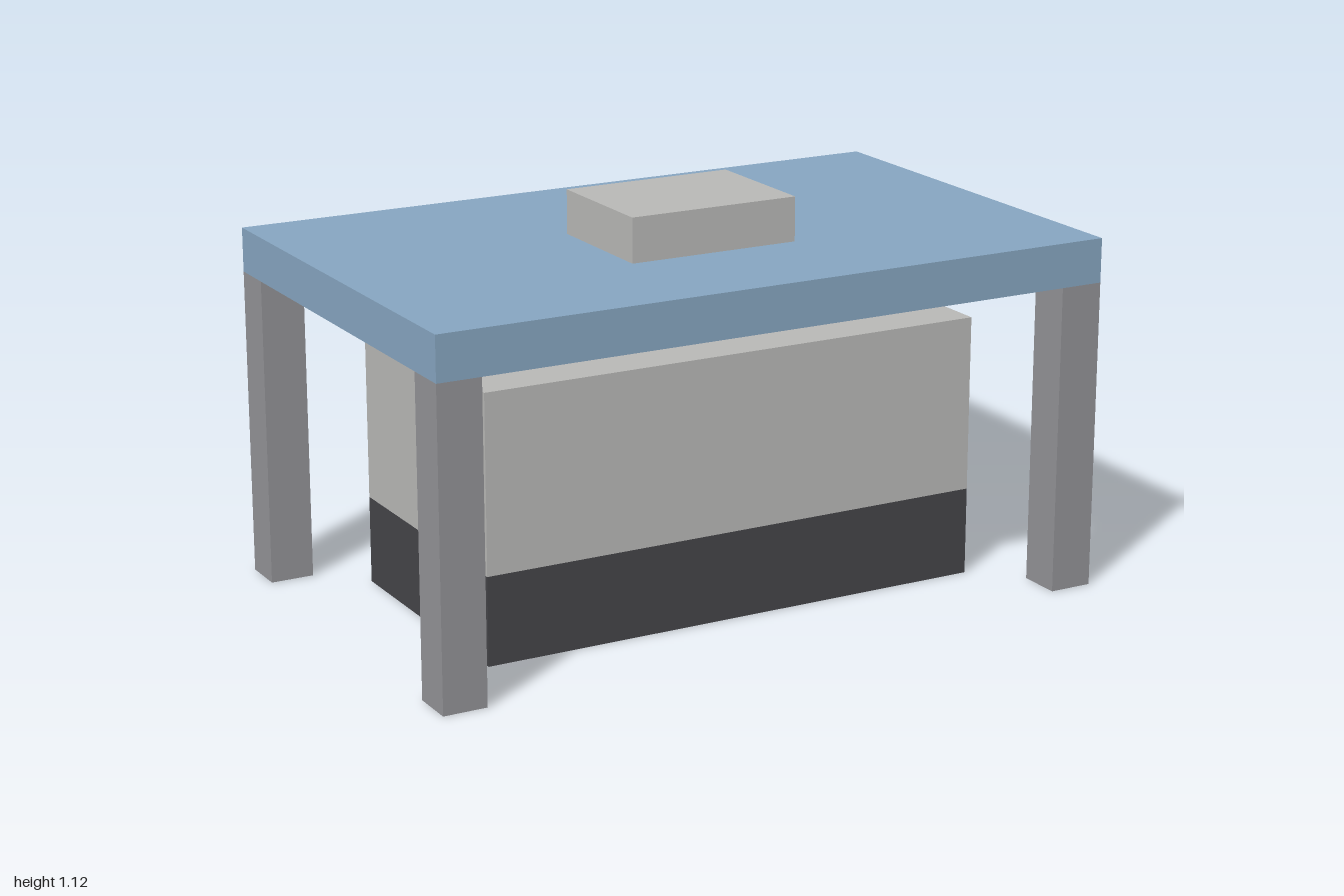
import * as THREE from 'three';

const material = (name, color) => {
  const m = new THREE.MeshStandardMaterial({ color });
  m.name = name;
  return m;
};

export function createModel() {
  const model = new THREE.Group();
  model.name = 'table';

  const blue = material('blue', 0x86a5c0);
  const legGrey = material('legGrey', 0x929296);
  const paleGrey = material('paleGrey', 0xb8b8b6);
  const charcoal = material('charcoal', 0x444448);

  // Adds a box resting on height y
  const addBox = (name, mat, [w, h, d], [x, y, z]) => {
    const mesh = new THREE.Mesh(new THREE.BoxGeometry(w, h, d), mat);
    mesh.name = name;
    mesh.position.set(x, y + h / 2, z);
    model.add(mesh);
  };

  // Slab top with a small block on it, set slightly forward
  addBox('tableTop', blue, [2, 0.125, 1.25], [0, 0.875, 0]);
  addBox('topBlock', paleGrey, [0.5, 0.125, 0.375], [0, 1, 0.0625]);

  // Four square corner legs
  for (const [sx, side] of [[1, 'Left'], [-1, 'Right']]) {
    for (const [sz, end] of [[1, 'front'], [-1, 'back']]) {
      addBox(`${end}${side}Leg`, legGrey, [0.125, 0.875, 0.125], [sx * 0.9375, 0, sz * 0.5625]);
    }
  }

  // Two-tone chest under the table
  addBox('chestBase', charcoal, [1.5, 0.25, 0.75], [0, 0, 0]);
  addBox('chestBody', paleGrey, [1.5, 0.5, 0.75], [0, 0.25, 0]);

  return model;
}
